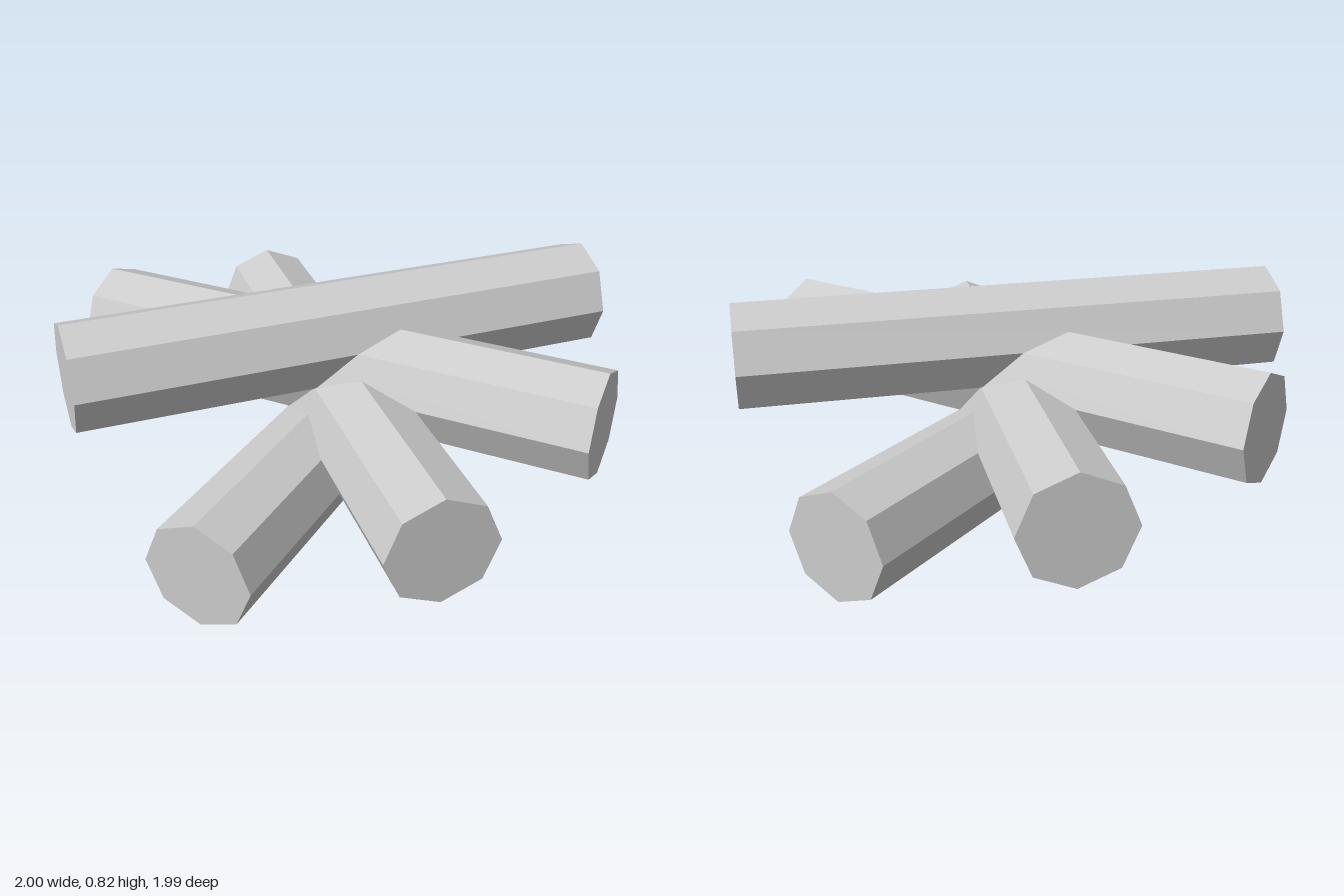
import * as THREE from 'three';

// Four crossed octagonal logs, stacked upward and overlapping at the centre.
export function createModel() {
  const group = new THREE.Group();
  group.name = 'logPile';

  const grey = new THREE.MeshStandardMaterial({ color: 0xcccccc, flatShading: true });
  grey.name = 'grey';

  // Octagonal prism along z, with an edge on top
  const geometry = new THREE.CylinderGeometry(0.198, 0.198, 1.99, 8).rotateX(Math.PI / 2);

  // Height of the log's axis and its heading in the ground plane (x, z)
  const logs = [
    { name: 'bottomLog', y: 0.198, dir: [0, 1] },
    { name: 'lowerDiagonalLog', y: 0.34, dir: [1.425, 1.39] },
    { name: 'crossLog', y: 0.48, dir: [1.985, -0.055] },
    { name: 'topDiagonalLog', y: 0.62, dir: [1.345, -1.465] },
  ];
  for (const { name, y, dir } of logs) {
    const log = new THREE.Mesh(geometry, grey);
    log.name = name;
    log.position.y = y;
    log.rotation.y = Math.atan2(dir[0], dir[1]);
    group.add(log);
  }
  return group;
}
